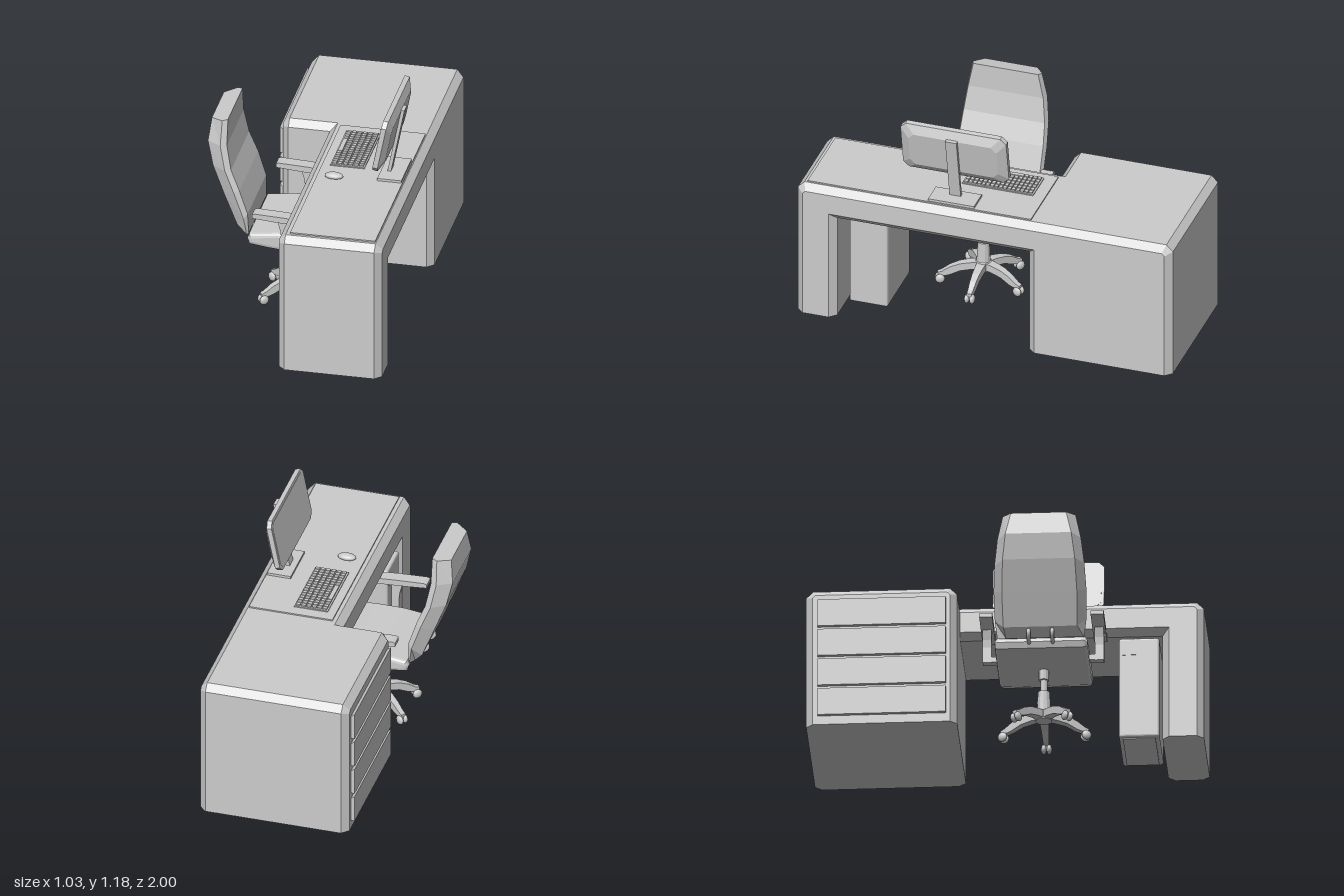
import * as THREE from 'three';
import { mergeGeometries } from 'three/addons/utils/BufferGeometryUtils.js';
import { RoundedBoxGeometry } from 'three/addons/geometries/RoundedBoxGeometry.js';

const flat = new THREE.MeshStandardMaterial({ color: 0xcccccc, flatShading: true });
const smooth = new THREE.MeshStandardMaterial({ color: 0xcccccc });

function add(parent, name, geometry, x = 0, y = 0, z = 0, material = flat) {
  const mesh = new THREE.Mesh(geometry, material);
  mesh.name = name;
  mesh.position.set(x, y, z);
  parent.add(mesh);
  return mesh;
}

// Box given by its limits on each axis
function boxBetween(x0, x1, y0, y1, z0, z1) {
  return new THREE.BoxGeometry(x1 - x0, y1 - y0, z1 - z0)
    .translate((x0 + x1) / 2, (y0 + y1) / 2, (z0 + z1) / 2);
}

const shapeOf = (points) => new THREE.Shape(points.map(([x, y]) => new THREE.Vector2(x, y)));

// Profile in (x, y) extruded along z, with an optional inward bevel
function extrudeZ(points, z0, z1, bevel = 0, segments = 1) {
  return new THREE.ExtrudeGeometry(shapeOf(points), {
    depth: z1 - z0 - 2 * bevel, bevelEnabled: bevel > 0, bevelSize: bevel,
    bevelThickness: bevel, bevelOffset: -bevel, bevelSegments: segments,
  }).translate(0, 0, z0 + bevel);
}

// Profile in (z, y) extruded along x with chamfers, cut level at the floor
function carcass(points, x0, x1, chamfer) {
  const g = extrudeZ(points.map(([z, y]) => [-z, y]), x0, x1, chamfer).rotateY(Math.PI / 2);
  const p = g.attributes.position;
  for (let i = 0; i < p.count; i++) p.setY(i, Math.max(0, p.getY(i)));
  g.computeVertexNormals();
  return g;
}

// Closed skin over a stack of rings (clockwise seen from the stacking direction)
function loft(rings) {
  const n = rings[0].length, index = [];
  for (let r = 0; r < rings.length - 1; r++) {
    for (let i = 0; i < n; i++) {
      const a = r * n + i, b = r * n + (i + 1) % n;
      index.push(a, a + n, b + n, a, b + n, b);
    }
  }
  const top = (rings.length - 1) * n;
  for (let i = 1; i < n - 1; i++) index.push(0, i, i + 1, top, top + i + 1, top + i);
  const g = new THREE.BufferGeometry();
  g.setAttribute('position', new THREE.Float32BufferAttribute(rings.flat(2), 3));
  g.setIndex(index);
  g.computeVertexNormals();
  return g;
}

function createDesk() {
  const desk = new THREE.Group();
  desk.name = 'desk';
  add(desk, 'deskTopAndLeg', carcass([[1, -0.05], [1, 0.72], [0.965, 0.755], [-0.34, 0.755],
    [-0.34, 0.575], [0.79, 0.575], [0.79, -0.05]], -0.02, 0.515, 0.035));
  add(desk, 'drawerCabinet', carcass([[-0.235, -0.05], [-0.235, 0.72], [-0.27, 0.755],
    [-0.965, 0.755], [-1, 0.72], [-1, -0.05]], -0.27, 0.515, 0.035));
  // Drawer fronts with a slanted finger grip along the top
  for (let i = 0; i < 4; i++) {
    const b = 0.047 + i * 0.165, t = b + 0.147;
    add(desk, 'drawerFront', extrudeZ([[-0.26, b], [-0.26, t - 0.022], [-0.29, t], [-0.29, b]], -0.94, -0.29));
  }
  add(desk, 'deskMat', boxBetween(0.035, 0.475, 0.75, 0.762, -0.24, 0.95));
  return desk;
}

function createMonitor() {
  const monitor = new THREE.Group();
  monitor.name = 'monitor';
  const zc = 0.19, tilt = -0.195;
  add(monitor, 'monitorBase', boxBetween(0.345, 0.47, 0.762, 0.775, 0.065, 0.31));
  const post = add(monitor, 'monitorPost', new THREE.BoxGeometry(0.018, 0.365, 0.06), 0.422, 0.95, zc);
  post.rotation.z = tilt;
  // Panel: eight-sided outline tapering towards the back
  const outline = (x, h, w, c) => [[h, w - c], [h, c - w], [h - c, -w], [c - h, -w],
    [-h, c - w], [-h, w - c], [c - h, w], [h - c, w]].map(([y, z]) => [x, y, z]);
  const panel = add(monitor, 'monitorPanel', loft([outline(0, 0.146, 0.282, 0.03),
    outline(0.026, 0.146, 0.282, 0.03), outline(0.052, 0.1, 0.235, 0.03)]), 0.378, 1.036, zc);
  panel.rotation.z = tilt;
  add(panel, 'screen', loft([outline(-0.002, 0.131, 0.267, 0.025), outline(0.001, 0.131, 0.267, 0.025)]));
  return monitor;
}

function createDeskItems() {
  const items = new THREE.Group();
  items.name = 'deskItems';
  add(items, 'keyboardTray', boxBetween(0.078, 0.255, 0.76, 0.767, -0.178, 0.2));
  // Keys in six rows, with a wide space key in the row nearest the sitter
  const keys = [];
  const rows = 6, columns = 16, dx = 0.168 / rows, dz = 0.366 / columns;
  for (let r = 0; r < rows; r++) {
    for (let c = 0; c < columns; c++) {
      if (r === 0 && c > 4 && c < 10) continue;
      const wide = r === 0 && c === 4 ? 6 : 1;
      const x = 0.083 + r * dx, z = -0.172 + c * dz;
      keys.push(boxBetween(x + 0.003, x + dx - 0.003, 0.766, 0.775, z + 0.0025, z + wide * dz - 0.0025));
    }
  }
  add(items, 'keys', mergeGeometries(keys));
  const dome = new THREE.SphereGeometry(1, 20, 8, 0, Math.PI * 2, 0, Math.PI * 0.65);
  add(items, 'mouse', dome.scale(0.048, 0.018, 0.027), 0.125, 0.774, 0.325, smooth);
  return items;
}

function createComputer() {
  const computer = new THREE.Group();
  computer.name = 'computerCase';
  add(computer, 'caseBody', new RoundedBoxGeometry(0.355, 0.55, 0.205, 2, 0.012), 0.162, 0.28, 0.672);
  add(computer, 'caseFoot', boxBetween(0, 0.32, 0, 0.012, 0.59, 0.755));
  for (const z of [0.6, 0.645]) add(computer, 'caseButton', boxBetween(-0.02, 0, 0.46, 0.48, z - 0.012, z + 0.012));
  return computer;
}

function createChair() {
  const chair = new THREE.Group();
  chair.name = 'chair';
  chair.position.z = 0.193;
  const cx = -0.064;

  // Five-armed foot with twin-wheel castors
  for (let i = 0; i < 5; i++) {
    const arm = new THREE.Group();
    arm.name = 'footArm';
    arm.position.x = cx;
    arm.rotation.y = i * Math.PI * 0.4;
    chair.add(arm);
    const bar = extrudeZ([[0, 0.085], [0.06, 0.085], [0.12, 0.074], [0.17, 0.05], [0.195, 0.043], [0.23, 0.043],
      [0.232, 0.06], [0.21, 0.068], [0.17, 0.095], [0.12, 0.115], [0.06, 0.125], [0, 0.127]], -0.026, 0.026);
    const p = bar.attributes.position;
    for (let j = 0; j < p.count; j++) p.setZ(j, p.getZ(j) * (1 - 2.2 * p.getX(j)));
    bar.computeVertexNormals();
    add(arm, 'footBar', bar);
    add(arm, 'castorStem', new THREE.CylinderGeometry(0.009, 0.009, 0.03, 8), 0.22, 0.04, 0);
    for (const s of [-1, 1]) {
      const wheel = new THREE.SphereGeometry(0.025, 12, 8).scale(1, 1, 0.55);
      add(arm, 'castorWheel', wheel, 0.22, 0.025, s * 0.014, smooth);
    }
  }

  // Gas column turned as one profile
  const column = [[0, 0.075], [0.042, 0.08], [0.042, 0.125], [0.036, 0.13], [0.031, 0.24], [0.018, 0.242],
    [0.018, 0.305], [0.026, 0.307], [0.026, 0.37], [0, 0.37]].map(([r, y]) => new THREE.Vector2(r, y));
  add(chair, 'gasColumn', new THREE.LatheGeometry(column, 12), cx);

  // Cushion with a rounded front edge
  add(chair, 'seat', extrudeZ([[-0.305, 0.415], [-0.295, 0.383], [-0.2, 0.37], [-0.02, 0.355], [0.1, 0.355],
    [0.155, 0.372], [0.175, 0.4], [0.165, 0.43], [0.12, 0.452], [0.0, 0.462], [-0.15, 0.461], [-0.295, 0.442]],
    -0.235, 0.235, 0.022, 3));

  // Backrest: front x, front y, rear x, rear y, half width
  const stations = [[-0.3, 0.435, -0.325, 0.425, 0.22], [-0.303, 0.55, -0.365, 0.47, 0.232],
    [-0.345, 0.68, -0.43, 0.635, 0.235], [-0.39, 0.79, -0.49, 0.79, 0.228],
    [-0.415, 0.92, -0.52, 0.92, 0.212], [-0.415, 1.055, -0.505, 1.04, 0.185]];
  add(chair, 'backrest', loft(stations.map(([fx, fy, rx, ry, w]) => {
    const mx = fx + (rx - fx) * 0.3, my = fy + (ry - fy) * 0.3;
    return [[fx, fy, w - 0.012], [mx, my, w], [rx, ry, w - 0.045],
      [rx, ry, 0.045 - w], [mx, my, -w], [fx, fy, 0.012 - w]];
  })));

  for (const s of [-1, 1]) {
    // Bent bars joining backrest and seat
    const bend = new THREE.CatmullRomCurve3([[-0.345, 0.47], [-0.358, 0.44], [-0.34, 0.415], [-0.28, 0.41]]
      .map(([x, y]) => new THREE.Vector3(x, y, s * 0.06)));
    add(chair, 'backrestBar', new THREE.TubeGeometry(bend, 10, 0.01, 8), 0, 0, 0, smooth);

    // Armrests on upright brackets
    add(chair, 'armPad', extrudeZ([[-0.26, 0.58], [-0.15, 0.571], [0.03, 0.56], [0.045, 0.568], [0.045, 0.585],
      [0.03, 0.591], [-0.1, 0.6], [-0.245, 0.606], [-0.26, 0.6]], -0.033, 0.033), 0, 0, s * 0.282);
    add(chair, 'armBracket', extrudeZ([[-0.13, 0.575], [-0.115, 0.52], [-0.11, 0.48], [-0.11, 0.395],
      [-0.07, 0.395], [-0.07, 0.575]], -0.023, 0.023), 0, 0, s * 0.284);
    add(chair, 'armJoint', new THREE.BoxGeometry(0.038, 0.03, 0.08), -0.09, 0.412, s * 0.24);
  }
  return chair;
}

export function createModel() {
  const model = new THREE.Group();
  model.name = 'officeDesk';
  model.add(createDesk(), createMonitor(), createDeskItems(), createComputer(), createChair());
  return model;
}
